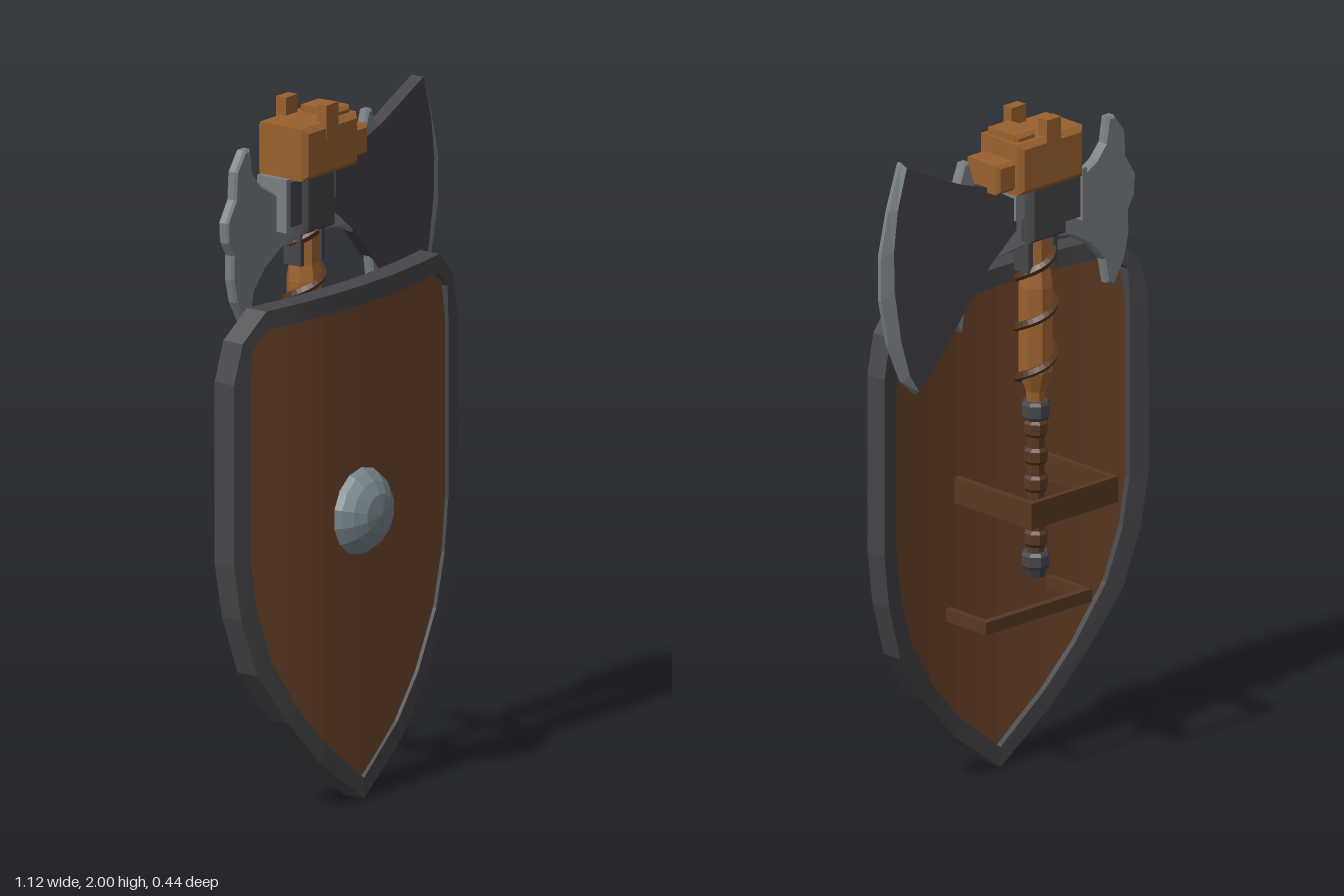
import * as THREE from 'three';

const mat = (name, color) => {
  const m = new THREE.MeshStandardMaterial({ color });
  m.name = name;
  m.flatShading = true;
  return m;
};

export function createModel() {
  const root = new THREE.Group();
  root.name = 'shieldAndAxe';
  const board = mat('board brown', 0x70462b);
  const iron = mat('dark iron', 0x46464a);
  const bladeDark = mat('blade grey', 0x454249);
  const steel = mat('light steel', 0x7a8083);
  const bossSteel = mat('boss steel', 0x78868c);
  const wood = mat('orange wood', 0x9a612e);
  const leather = mat('dark leather', 0x573821);
  const CX = -0.05, AZ = -0.06;

  const add = (name, geo, material, parent = root) => {
    const m = new THREE.Mesh(geo, material);
    m.name = name;
    parent.add(m);
    return m;
  };
  // Faceted surface from four-cornered faces, counter-clockwise from outside
  const quads = (list) => {
    const p = [];
    for (const [a, b, c, d] of list) p.push(...a, ...b, ...c, ...a, ...c, ...d);
    const g = new THREE.BufferGeometry();
    g.setAttribute('position', new THREE.Float32BufferAttribute(p, 3));
    g.computeVertexNormals();
    return g;
  };
  // Flat plate in the xy plane with chamfered edges, centred on z
  const plate = (pts, depth, c, z = AZ) => {
    const g = new THREE.ExtrudeGeometry(new THREE.Shape(pts.map(([x, y]) => new THREE.Vector2(x, y))), {
      depth: depth - 2 * c, bevelEnabled: c > 0, bevelThickness: c, bevelSize: c, bevelOffset: -c, bevelSegments: 1,
    });
    return g.translate(0, 0, z - depth / 2 + c);
  };
  const block = (name, x0, x1, y0, y1, z0, z1, material, c = 0, parent = root) =>
    add(name, plate([[x0, y0], [x1, y0], [x1, y1], [x0, y1]], z1 - z0, c, (z0 + z1) / 2), material, parent);
  const turned = (name, pts, material, sides = 8) => {
    const m = add(name, new THREE.LatheGeometry(pts.map(([r, y]) => new THREE.Vector2(r, y)), sides, Math.PI / sides), material, axe);
    m.position.set(CX, 0, AZ);
    return m;
  };

  // ---- Shield ----
  const shield = new THREE.Group();
  shield.name = 'shield';
  root.add(shield);
  const outer = [[0, 1.495], [0.13, 1.495], [0.26, 1.495], [0.4, 1.495], [0.485, 1.415], [0.515, 1.3],
    [0.515, 0.77], [0.49, 0.61], [0.434, 0.44], [0.318, 0.28], [0.19, 0.14], [0, 0]];
  const inner = [[0, 1.44], [0.13, 1.44], [0.26, 1.44], [0.395, 1.44], [0.45, 1.39], [0.455, 1.3],
    [0.455, 0.77], [0.432, 0.62], [0.38, 0.47], [0.275, 0.31], [0.165, 0.19], [0, 0.06]];
  const bend = (dx) => -0.065 * (dx / 0.515) ** 2;
  const at = (dx, y, z) => [CX + dx, y, z + bend(dx)];

  // Rim: a square-section ring bent around the board
  const rim = [];
  for (const s of [1, -1]) {
    for (let i = 0; i < outer.length - 1; i++) {
      const corners = (k) => [at(s * outer[k][0], outer[k][1], 0.152), at(s * inner[k][0], inner[k][1], 0.152),
        at(s * inner[k][0], inner[k][1], 0.083), at(s * outer[k][0], outer[k][1], 0.083)];
      const a = corners(i), b = corners(i + 1);
      for (let j = 0; j < 4; j++) {
        const k = (j + 1) % 4;
        const q = [a[j], a[k], b[k], b[j]];
        rim.push(s > 0 ? q : q.reverse());
      }
    }
  }
  add('shieldRim', quads(rim), iron, shield);

  // Board: vertical staves between the top and bottom inner curves
  const interp = (pts, x) => {
    const k = Math.max(1, pts.findIndex((p) => p[0] >= x - 1e-6));
    const [a, b] = [pts[k - 1], pts[k]];
    return a[1] + (b[1] - a[1]) * (x - a[0]) / (b[0] - a[0]);
  };
  const topCurve = inner.slice(0, 6), lowCurve = inner.slice(6).reverse();
  const half = [0, 0.08, 0.165, 0.22, 0.275, 0.33, 0.38, 0.432, 0.455];
  const xs = [...half.slice(1).reverse().map((x) => -x), ...half];
  const staves = [];
  for (let i = 0; i < xs.length - 1; i++) {
    const [a, b] = [xs[i], xs[i + 1]];
    const col = (x, z) => [at(x, interp(lowCurve, Math.abs(x)), z), at(x, interp(topCurve, Math.abs(x)), z)];
    const [al, ah] = col(a, 0.14), [bl, bh] = col(b, 0.14);
    const [cl, ch] = col(a, 0.1), [dl, dh] = col(b, 0.1);
    staves.push([al, bl, bh, ah], [dl, cl, ch, dh]);
  }
  add('shieldBoard', quads(staves), board, shield);

  // Domed boss
  const dome = [[0.127, 0], [0.117, 0.02], [0.095, 0.045], [0.06, 0.067], [0, 0.076]].map(([r, y]) => new THREE.Vector2(r, y));
  const boss = add('shieldBoss', new THREE.LatheGeometry(dome, 14), bossSteel, shield);
  boss.rotation.x = Math.PI / 2;
  boss.position.set(CX, 0.836, 0.142);

  // Arm strap and hand grip on the back
  const bracket = (name, hw, y0, y1, z, t) => {
    const g = new THREE.Group();
    g.name = name;
    shield.add(g);
    block(name + 'Bar', CX - hw, CX + hw, y0, y1, z, z + t, leather, 0, g);
    for (const s of [-1, 1]) {
      const x = CX + s * (hw - 0.01);
      block(name + 'Side', x - 0.01, x + 0.01, y0, y1, z + t, 0.11, leather, 0, g);
    }
  };
  bracket('armStrap', 0.17, 0.828, 0.905, -0.22, 0.017);
  bracket('handGrip', 0.207, 0.485, 0.522, -0.074, 0.022);

  // ---- Axe ----
  const axe = new THREE.Group();
  axe.name = 'axe';
  root.add(axe);
  turned('pommel', [[0, 0.605], [0.026, 0.61], [0.036, 0.635], [0.042, 0.645], [0.042, 0.675], [0.035, 0.685], [0, 0.685]], iron);
  const grip = [];
  for (let i = 0; i < 5; i++) {
    const y = 0.68 + i * 0.082;
    grip.push([0.027, y], [0.027, y + 0.02], [0.035, y + 0.03], [0.035, y + 0.06], [0.027, y + 0.07]);
  }
  turned('grip', grip, leather);
  turned('gripCollar', [[0, 1.08], [0.036, 1.08], [0.042, 1.09], [0.042, 1.125], [0.036, 1.135], [0, 1.135]], iron);
  turned('shaft', [[0.027, 1.13], [0.03, 1.165], [0.052, 1.225], [0.052, 1.48], [0.044, 1.53], [0.044, 1.66]], wood);

  // Spiral leather wrap
  const turns = [];
  for (let i = 0; i <= 36; i++) {
    const y = 1.19 + 0.44 * i / 36;
    const t = Math.PI / 2 + (y - 1.37) / 0.15 * Math.PI * 2;
    const r = y > 1.5 ? 0.048 : 0.053;
    turns.push(new THREE.Vector3(CX + Math.sin(t) * r, y, AZ + Math.cos(t) * r));
  }
  add('shaftWrap', new THREE.TubeGeometry(new THREE.CatmullRomCurve3(turns), 72, 0.013, 5), leather, axe);

  // Socket, langets and side mounts
  block('socket', -0.118, 0.022, 1.63, 1.8, -0.12, 0, iron, 0.01, axe);
  for (const s of [-1, 1]) {
    block('langet', CX + s * 0.048 - 0.008, CX + s * 0.048 + 0.008, 1.53, 1.64, AZ - 0.03, AZ + 0.03, iron, 0, axe);
  }
  block('sideMount', -0.183, -0.11, 1.66, 1.79, -0.105, -0.015, iron, 0, axe);
  block('sideMountPlate', -0.2, -0.182, 1.65, 1.805, -0.112, -0.008, steel, 0, axe);
  block('bladeMount', 0.02, 0.055, 1.7, 1.79, -0.09, -0.03, steel, 0, axe);

  // Horned steel plate reaching through both sides of the head
  add('hornedPlate', plate([[-0.1, 1.75], [-0.2, 1.76], [-0.27, 1.8], [-0.305, 1.84], [-0.318, 1.915], [-0.345, 1.915],
    [-0.385, 1.86], [-0.39, 1.78], [-0.428, 1.72], [-0.424, 1.66], [-0.4, 1.62], [-0.402, 1.55], [-0.385, 1.48],
    [-0.345, 1.41], [-0.315, 1.42], [-0.3, 1.495], [-0.25, 1.55], [-0.17, 1.597], [-0.1, 1.61], [0.02, 1.61],
    [0.115, 1.598], [0.19, 1.555], [0.235, 1.495], [0.25, 1.41], [0.28, 1.44], [0.26, 1.6], [0.27, 1.85],
    [0.245, 1.915], [0.223, 1.915], [0.2, 1.84], [0.13, 1.79], [0.045, 1.75]].reverse(), 0.034, 0.007), steel, axe);

  // Broad blade and its ground cutting edge
  const edgeIn = [[0.473, 1.96], [0.508, 1.84], [0.523, 1.72], [0.52, 1.6], [0.495, 1.45], [0.462, 1.34], [0.425, 1.28]];
  const edgeOut = [[0.482, 1.975], [0.53, 1.84], [0.56, 1.71], [0.56, 1.58], [0.53, 1.44], [0.475, 1.315], [0.425, 1.27]];
  add('blade', plate([[0.045, 1.67], [0.15, 1.585], [0.25, 1.47], [0.34, 1.36], ...[...edgeIn].reverse(),
    [0.28, 1.865], [0.16, 1.825], [0.045, 1.76]], 0.042, 0), bladeDark, axe);
  const edge = [];
  for (let i = 0; i < edgeIn.length - 1; i++) {
    const row = (k) => [[...edgeIn[k], AZ + 0.021], [...edgeOut[k], AZ + 0.006], [...edgeOut[k], AZ - 0.006], [...edgeIn[k], AZ - 0.021]];
    const a = row(i), b = row(i + 1);
    for (let j = 0; j < 3; j++) edge.push([a[j], b[j], b[j + 1], a[j + 1]]);
  }
  add('cuttingEdge', quads(edge), steel, axe);

  // Carved wooden head cap
  block('headCap', -0.16, 0.093, 1.795, 1.948, -0.148, 0.028, wood, 0.015, axe);
  block('headCapCrown', 0, 0.083, 1.93, 1.968, -0.12, 0.005, wood, 0.01, axe);
  block('headCapSnout', 0.085, 0.16, 1.81, 1.898, -0.126, 0.008, wood, 0.01, axe);
  for (const z of [-0.148, -0.004]) block('headCapPeg', -0.065, -0.01, 1.9, 2, z, z + 0.034, wood, 0, axe);

  return root;
}
